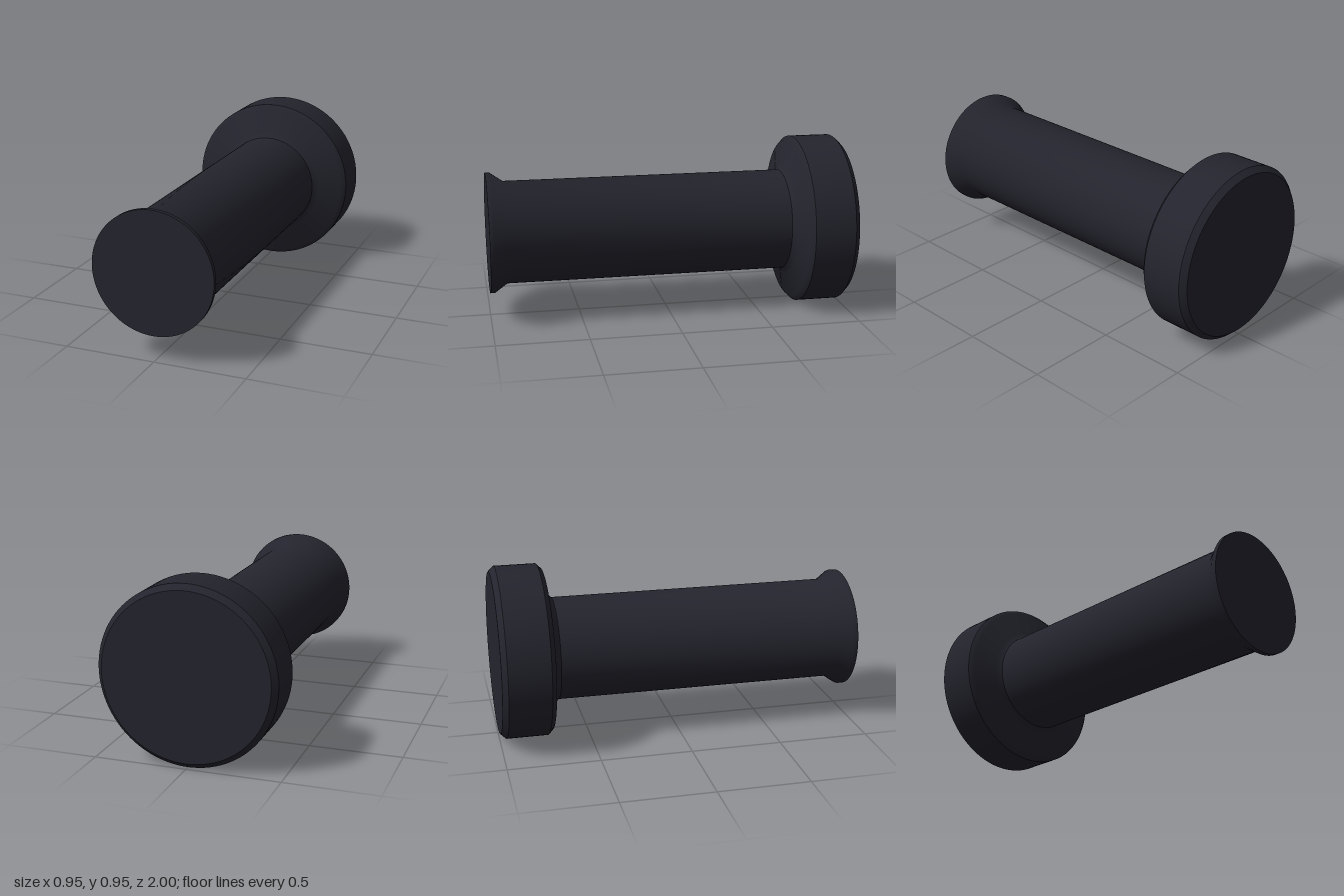
import * as THREE from 'three';
import { toCreasedNormals } from 'three/addons/utils/BufferGeometryUtils.js';

const charcoal = new THREE.MeshStandardMaterial({ color: 0x24242e });
charcoal.name = 'charcoal';

// Turned part along z; profile points are [radius, z], from back to front
function turned(name, profile) {
  const points = profile.map(([r, z]) => new THREE.Vector2(r, z));
  const geometry = new THREE.LatheGeometry(points, 96).rotateX(Math.PI / 2);
  const mesh = new THREE.Mesh(toCreasedNormals(geometry, 0.68), charcoal);
  mesh.name = name;
  return mesh;
}

export function createModel() {
  const model = new THREE.Group();
  model.name = 'flangedPeg';

  // Chamfered head with a sloped shoulder
  const head = turned('head', [
    [0, -1], [0.447, -1], [0.476, -0.97], [0.476, -0.742],
    [0.45, -0.716], [0.313, -0.696], [0.284, -0.667],
  ]);

  // Straight shaft with a flared, flat front end
  const shaft = turned('shaft', [
    [0.284, -0.667], [0.284, 0.905], [0.333, 0.975], [0.333, 1], [0, 1],
  ]);

  model.add(head, shaft);
  model.position.y = 0.476;
  return model;
}
